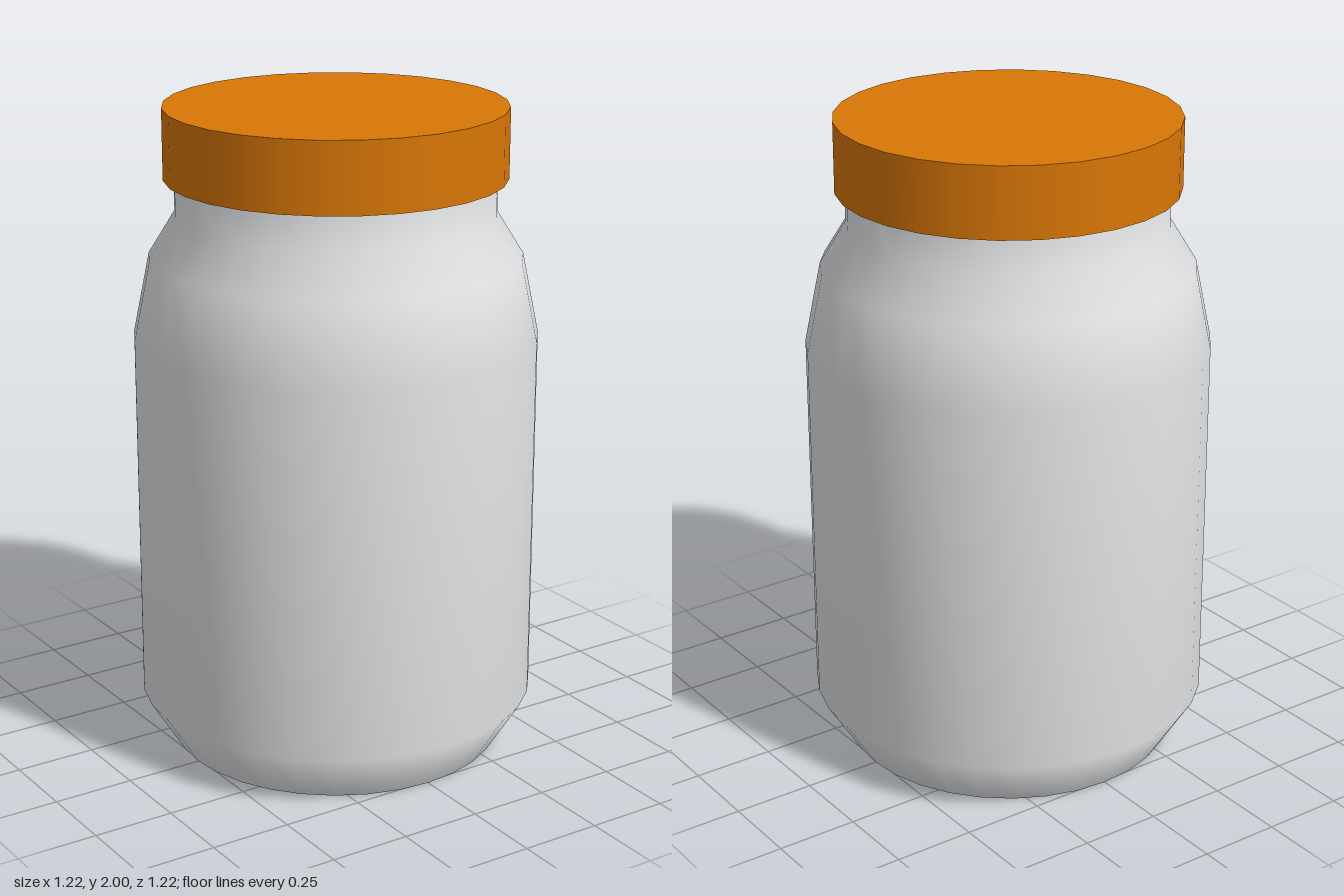
import * as THREE from 'three';

export function createModel() {
  const jar = new THREE.Group();
  jar.name = 'jar';

  const glass = new THREE.MeshStandardMaterial({ color: 0xe3e5e7, side: THREE.DoubleSide });
  glass.name = 'pale grey glass';
  const orange = new THREE.MeshStandardMaterial({ color: 0xd97706 });
  orange.name = 'orange lid';
  const red = new THREE.MeshStandardMaterial({ color: 0xb91c1c });
  red.name = 'dark red filling';

  const add = (name, geometry, material, y = 0) => {
    const mesh = new THREE.Mesh(geometry, material);
    mesh.name = name;
    mesh.position.y = y;
    jar.add(mesh);
  };

  // Glass wall, open at the bottom, its neck reaching up into the lid
  const profile = [
    [0.51, 0], [0.612, 0.165], [0.612, 1.305], [0.562, 1.55],
    [0.482, 1.68], [0.482, 1.85],
  ].map(([r, y]) => new THREE.Vector2(r, y));
  add('glassBody', new THREE.LatheGeometry(profile, 32), glass);

  // Filling, whose underside shows through the open bottom
  add('filling', new THREE.CylinderGeometry(0.51, 0.51, 1.41, 32), red, 0.795);

  // Screw lid
  add('lid', new THREE.CylinderGeometry(0.514, 0.514, 0.214, 28), orange, 1.893);

  return jar;
}
